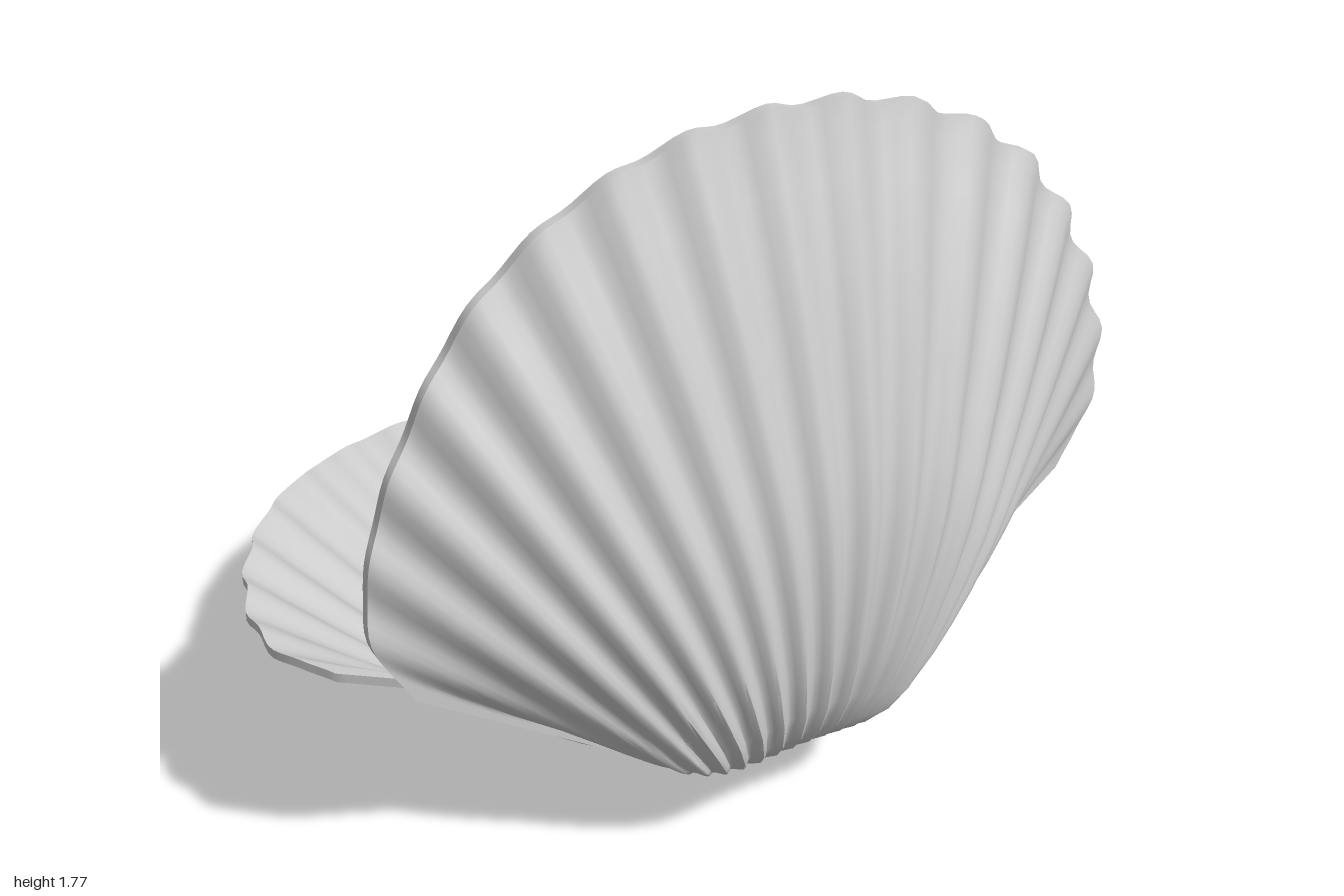
import * as THREE from 'three';
import { toCreasedNormals } from 'three/addons/utils/BufferGeometryUtils.js';

const RIBS = 18, COLUMNS = RIBS * 7, THICKNESS = 0.025;

// Rim of one valve, seen flat, from one hinge corner round to the other
const RIM = new THREE.CatmullRomCurve3([
  [-0.89, 0.5], [-0.985, 0.68], [-0.965, 0.92], [-0.89, 1.12], [-0.74, 1.37],
  [-0.54, 1.54], [-0.28, 1.65], [0, 1.69], [0.25, 1.67], [0.49, 1.59],
  [0.69, 1.46], [0.84, 1.28], [0.96, 1.02], [0.985, 0.77], [0.89, 0.58],
].map(([x, y]) => new THREE.Vector3(x, y, 0)));

// Bulge from hinge lip (0) to rim (1): [position, depth]
const PROFILE = [
  [0, 0], [0.04, 0], [0.06, 0.07], [0.09, 0.16], [0.12, 0.215], [0.15, 0.25],
  [0.2, 0.28], [0.27, 0.295], [0.33, 0.297], [0.4, 0.293], [0.48, 0.277],
  [0.55, 0.25], [0.62, 0.215], [0.7, 0.175], [0.79, 0.125], [0.9, 0.06],
  [0.97, 0.015], [1, 0],
];

// A ribbed, domed fan: each column is a closed loop, out along the back and in along the inside
function valveGeometry() {
  const positions = [], index = [];
  const rows = PROFILE.length, loop = rows * 2;

  for (let i = 0; i <= COLUMNS; i++) {
    const t = (i / COLUMNS) * 2 - 1;
    const side = Math.min(1, Math.abs(t) / 0.95);   // flat flange beyond 0.95
    const arch = 1 - side ** 3.4;
    const rib = Math.cos(t * RIBS * Math.PI) * (1 - side ** 8);
    const rim = RIM.getPointAt(i / COLUMNS).multiplyScalar(1 + 0.008 * rib);
    const lip = new THREE.Vector3(0.22 * t, 0.06 * t * t, 0);

    const addPoint = ([r, depth], offset) => {
      const p = lip.clone().lerp(rim, r);
      const ribHeight = 0.012 * THREE.MathUtils.smoothstep(r, 0.04, 0.16);
      positions.push(p.x, p.y, depth * arch + rib * ribHeight + offset);
    };
    PROFILE.forEach((row) => addPoint(row, THICKNESS));
    [...PROFILE].reverse().forEach((row) => addPoint(row, 0));
  }

  for (let i = 0; i < COLUMNS; i++) {
    for (let j = 0; j < loop; j++) {
      const k = (j + 1) % loop;
      const a = i * loop + j, b = a + loop;
      const d = i * loop + k, c = d + loop;
      index.push(a, b, c, a, c, d);
    }
  }

  // Close the two straight side edges
  const last = COLUMNS * loop;
  for (let j = 0; j < rows - 1; j++) {
    const a = j, b = j + 1, c = loop - 2 - j, d = loop - 1 - j;
    index.push(a, b, c, a, c, d);
    index.push(last + a, last + c, last + b, last + a, last + d, last + c);
  }

  const geometry = new THREE.BufferGeometry();
  geometry.setAttribute('position', new THREE.Float32BufferAttribute(positions, 3));
  geometry.setIndex(index);
  return toCreasedNormals(geometry, 0.8);
}

export function createModel() {
  const model = new THREE.Group();
  model.name = 'openShellWithPearls';
  const material = new THREE.MeshStandardMaterial({ color: 0xcccccc });

  const add = (name, geometry, x, y, z) => {
    const mesh = new THREE.Mesh(geometry, material);
    mesh.name = name;
    mesh.position.set(x, y, z);
    model.add(mesh);
    return mesh;
  };

  // Two equal valves: one upright, one turned over to lie flat
  const valve = valveGeometry();
  add('upperValve', valve, 0, 0.07, 0.62);
  add('lowerValve', valve, 0, 0.335, 0.73).rotation.set(-Math.PI / 2, Math.PI, 0);

  // Pearls: radius, x, y, z
  [
    ['largePearl', 0.24, -0.25, 0.28, 0.27],
    ['mediumPearlRear', 0.16, 0.04, 0.205, 0.02],
    ['mediumPearlFront', 0.163, 0.22, 0.185, 0.31],
    ['smallPearlTop', 0.078, 0.045, 0.395, 0.195],
    ['smallPearlRear', 0.08, -0.21, 0.19, -0.075],
  ].forEach(([name, radius, x, y, z]) => {
    add(name, new THREE.IcosahedronGeometry(radius, 1), x, y, z);
  });

  return model;
}
